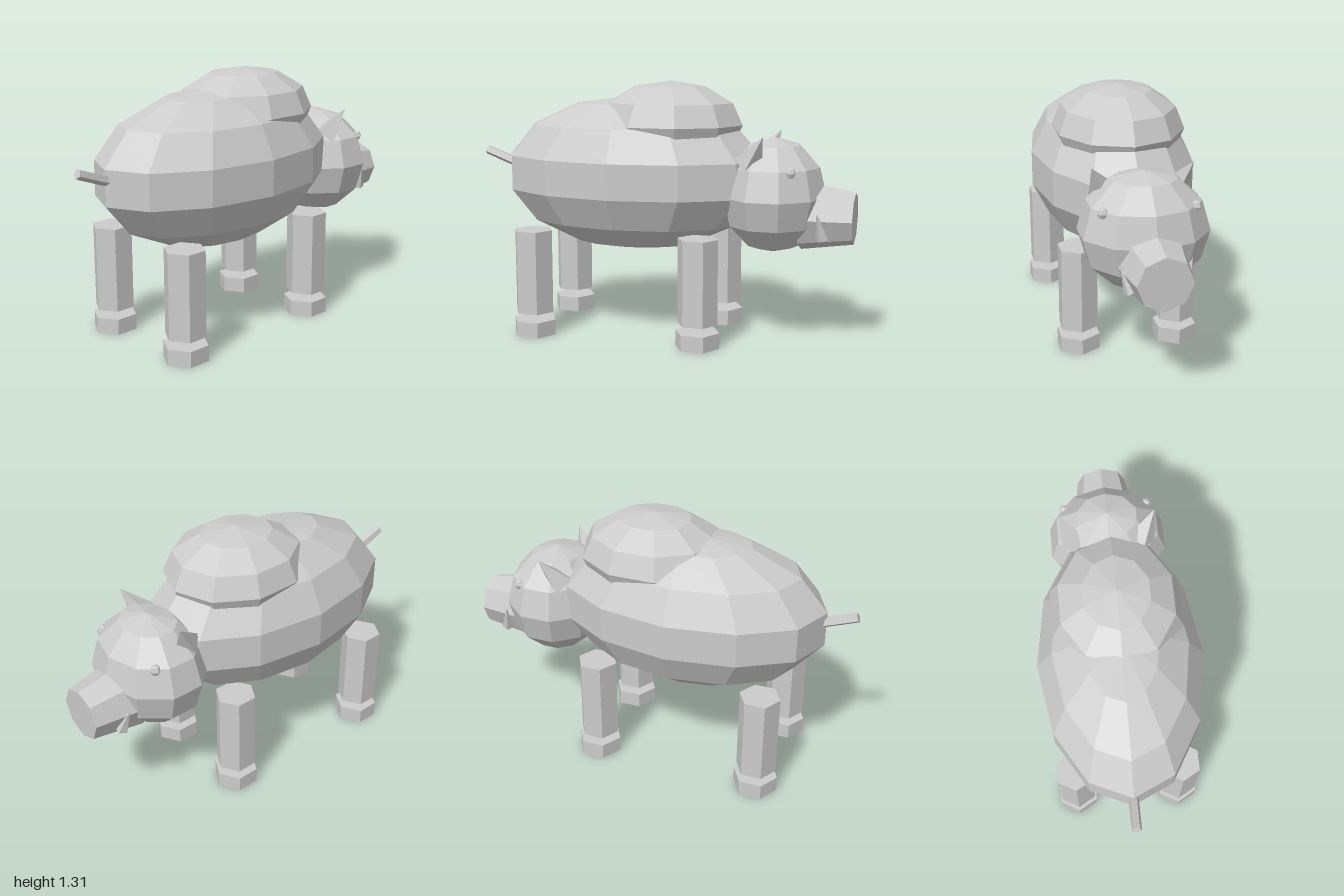
import * as THREE from 'three';

const material = new THREE.MeshStandardMaterial({ color: 0xcccccc, flatShading: true });

function add(parent, name, geometry, x = 0, y = 0, z = 0) {
  const mesh = new THREE.Mesh(geometry, material);
  mesh.name = name;
  mesh.position.set(x, y, z);
  parent.add(mesh);
  return mesh;
}

// Faceted ellipsoid with a row of corners on the z axis
function ellipsoid(rx, ry, rz, around, rings) {
  return new THREE.SphereGeometry(1, around, rings).rotateY(Math.PI / 2).scale(rx, ry, rz);
}

// Tapered prism running from one point to another
function spike(parent, name, from, to, rFrom, rTo, sides) {
  const a = new THREE.Vector3(...from), b = new THREE.Vector3(...to);
  const dir = b.clone().sub(a);
  const mesh = add(parent, name, new THREE.CylinderGeometry(rTo, rFrom, dir.length(), sides));
  mesh.position.copy(a).add(b).multiplyScalar(0.5);
  mesh.quaternion.setFromUnitVectors(new THREE.Vector3(0, 1, 0), dir.normalize());
  return mesh;
}

export function createModel() {
  const boar = new THREE.Group();
  boar.name = 'boar';

  // Body and shoulder hump
  add(boar, 'body', ellipsoid(0.42, 0.4, 0.71, 12, 7), 0, 0.83, 0.15);
  add(boar, 'shoulderHump', ellipsoid(0.33, 0.22, 0.38, 10, 6), 0, 1.09, -0.05);

  // Head and snout
  add(boar, 'head', ellipsoid(0.315, 0.29, 0.265, 10, 6), 0, 0.747, -0.594);
  spike(boar, 'snout', [0, 0.65, -0.74], [0, 0.646, -1], 0.172, 0.13, 8);

  // Paired features of the face
  for (const [side, s] of [['left', 1], ['right', -1]]) {
    add(boar, side + 'Eye', new THREE.SphereGeometry(0.028, 6, 4), s * 0.215, 0.885, -0.713);
    spike(boar, side + 'Ear', [s * 0.17, 0.91, -0.5], [s * 0.24, 1.055, -0.583], 0.075, 0, 4);
    spike(boar, side + 'Tusk', [s * 0.12, 0.56, -0.86], [s * 0.168, 0.69, -0.835], 0.035, 0, 5);

    // Legs with separate hooves
    for (const [end, x, z] of [['Front', 0.253, -0.27], ['Rear', 0.273, 0.603]]) {
      const leg = new THREE.Group();
      leg.name = side + end + 'Leg';
      leg.position.set(s * x, 0, z);
      add(leg, 'shank', new THREE.CylinderGeometry(0.103, 0.103, 0.43, 6), 0, 0.335, 0);
      add(leg, 'hoof', new THREE.CylinderGeometry(0.114, 0.114, 0.08, 6), 0, 0.04, 0);
      boar.add(leg);
    }
  }

  // Tail
  spike(boar, 'tail', [0, 0.855, 0.8], [0, 0.925, 0.992], 0.027, 0.025, 5);

  return boar;
}
